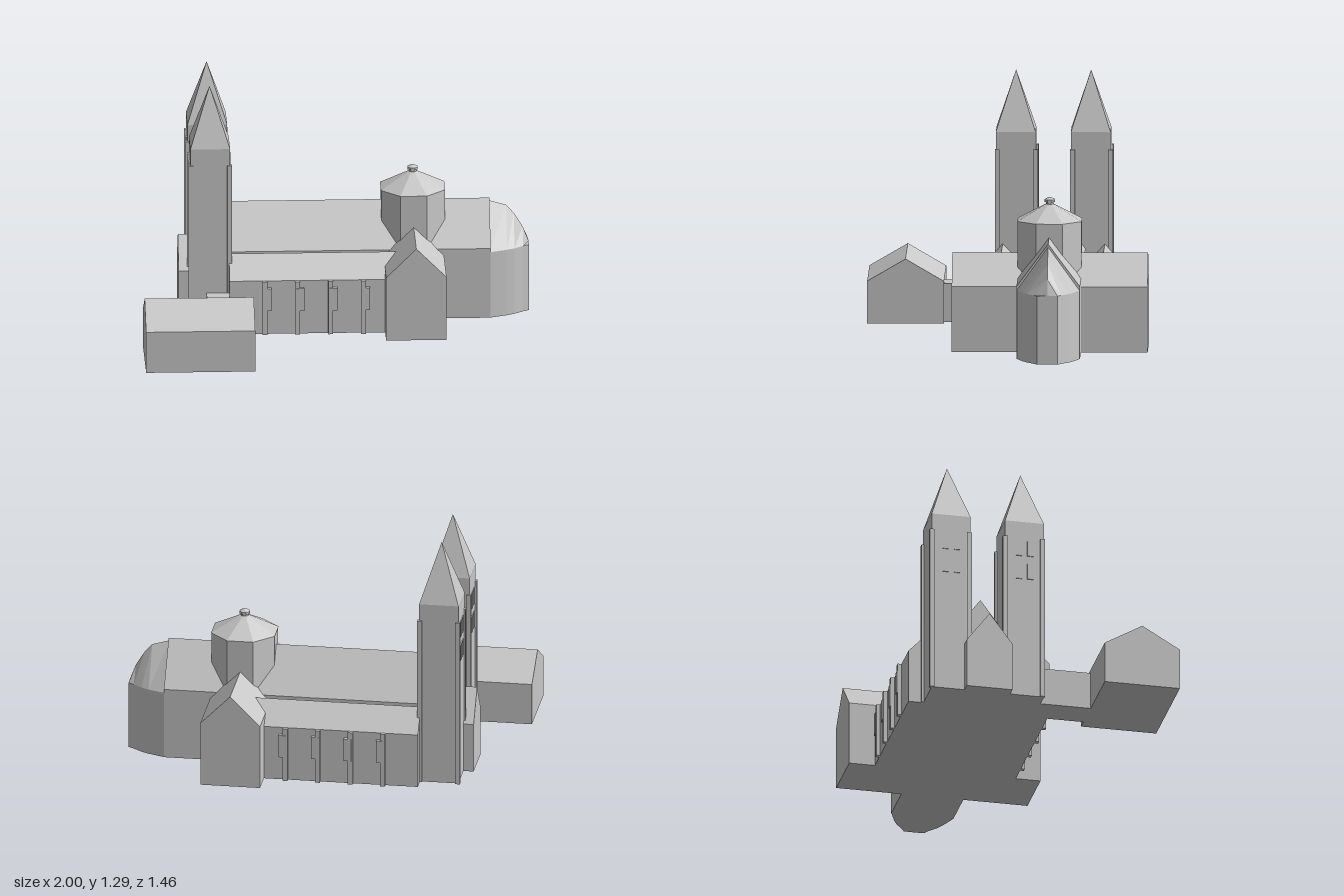
import * as THREE from 'three';

export function createModel() {
  const model = new THREE.Group();
  model.name = 'abbeyChurch';
  const stone = new THREE.MeshStandardMaterial({ color: 0xc8c8c8 });
  stone.name = 'paleGreyStone';
  const axisZ = -0.225; // centre line of the church

  function add(name, geometry, x = 0, y = 0, z = 0, parent = model) {
    const mesh = new THREE.Mesh(geometry, stone);
    mesh.name = name;
    mesh.position.set(x, y, z);
    parent.add(mesh);
    return mesh;
  }
  // Box given by its limits
  function block(name, x0, x1, y0, y1, z0, z1, parent) {
    return add(name, new THREE.BoxGeometry(x1 - x0, y1 - y0, z1 - z0),
      (x0 + x1) / 2, (y0 + y1) / 2, (z0 + z1) / 2, parent);
  }
  // House-shaped block with a gabled roof, its ridge running along z
  function gable(half, eave, ridge, length) {
    const s = new THREE.Shape();
    s.moveTo(-half, 0);
    s.lineTo(half, 0);
    s.lineTo(half, eave);
    s.lineTo(0, ridge);
    s.lineTo(-half, eave);
    s.closePath();
    return new THREE.ExtrudeGeometry(s, { depth: length, bevelEnabled: false });
  }
  function gableAlongX(name, x0, x1, z, half, eave, ridge) {
    return add(name, gable(half, eave, ridge, x1 - x0).rotateY(Math.PI / 2), x0, 0, z);
  }

  // Main body
  gableAlongX('naveAndChoir', -0.58, 0.8, axisZ, 0.163, 0.375, 0.595);
  gableAlongX('westPorch', -0.8, -0.5, axisZ, 0.12, 0.26, 0.42);
  add('transept', gable(0.155, 0.34, 0.495, 1.005), 0.405, 0, -0.73);

  // Side aisles with buttresses and window frames
  for (const side of [1, -1]) {
    const label = side > 0 ? 'front' : 'back';
    gableAlongX(label + 'Aisle', -0.548, 0.35, axisZ + side * 0.262, 0.108, 0.287, 0.4);
    const wall = axisZ + side * 0.37;
    for (const x of [-0.368, -0.2, -0.03, 0.138]) {
      add(label + 'Buttress', new THREE.BoxGeometry(0.025, 0.287, 0.022),
        x, 0.1435, wall + side * 0.009);
      add(label + 'AisleWindow', new THREE.BoxGeometry(0.04, 0.12, 0.024),
        x + 0.014, 0.19, wall + side * 0.01);
    }
  }

  // Apse: tent-shaped sections [x, half width, ridge height]
  const sections = [[0.795, 0.163, 0.582], [0.885, 0.128, 0.555], [0.925, 0.106, 0.51],
    [0.97, 0.07, 0.437], [1.0, 0.052, 0.358]];
  const eave = 0.355;
  const pos = [];
  const quad = (a, b, c, d) => pos.push(...a, ...b, ...c, ...a, ...c, ...d);
  const ring = ([x, w, h]) => [[x, 0, w], [x, eave, w], [x, h, 0], [x, eave, -w], [x, 0, -w]];
  for (let i = 0; i < sections.length - 1; i++) {
    const a = ring(sections[i]), b = ring(sections[i + 1]);
    for (let j = 0; j < 5; j++) {
      const k = (j + 1) % 5;
      quad(a[j], b[j], b[k], a[k]);
    }
  }
  const end = ring(sections[sections.length - 1]);
  quad(end[0], end[4], end[3], end[1]);
  pos.push(...end[1], ...end[3], ...end[2]);
  const apse = new THREE.BufferGeometry();
  apse.setAttribute('position', new THREE.Float32BufferAttribute(pos, 3));
  apse.computeVertexNormals();
  add('apse', apse, 0, 0, axisZ);

  // Octagonal crossing tower with roof and finial
  const crossing = new THREE.Group();
  crossing.name = 'crossingTower';
  crossing.position.set(0.405, 0, axisZ);
  model.add(crossing);
  function octagon(name, rTop, rBottom, y0, y1) {
    const k = 1 / Math.cos(Math.PI / 8);
    const g = new THREE.CylinderGeometry(rTop * k, rBottom * k, y1 - y0, 8)
      .rotateY(Math.PI / 8).toNonIndexed();
    g.computeVertexNormals();
    add(name, g, 0, (y0 + y1) / 2, 0, crossing);
  }
  octagon('crossingWalls', 0.163, 0.163, 0.3, 0.665);
  octagon('crossingRoof', 0.02, 0.165, 0.665, 0.747);
  octagon('finialNeck', 0.019, 0.019, 0.74, 0.762);
  octagon('finialCap', 0.026, 0.026, 0.758, 0.77);
  octagon('finialTip', 0.006, 0.026, 0.77, 0.782);

  // Twin west towers
  for (const [label, z] of [['front', -0.03], ['back', -0.415]]) {
    const tower = new THREE.Group();
    tower.name = label + 'Tower';
    tower.position.set(-0.645, 0, z);
    model.add(tower);
    block('towerShaft', -0.102, 0.102, 0, 0.98, -0.102, 0.102, tower);
    const spire = new THREE.ConeGeometry(0.102 * Math.SQRT2, 0.31, 4)
      .rotateY(Math.PI / 4).toNonIndexed();
    spire.computeVertexNormals();
    add('spire', spire, 0, 1.135, 0, tower);
    for (const sx of [-1, 1]) for (const sz of [-1, 1]) {
      add('cornerPilaster', new THREE.BoxGeometry(0.024, 0.89, 0.024),
        sx * 0.099, 0.445, sz * 0.098 - 0.004, tower);
    }
    // Paired belfry windows on the west face
    for (const wz of [-0.03, 0.03]) for (const wy of [0.7, 0.83]) {
      add('belfryWindow', new THREE.BoxGeometry(0.008, 0.085, 0.032), -0.103, wy, wz, tower);
    }
  }

  // Detached hall and its link to the church
  gableAlongX('hall', -1, -0.44, 0.533, 0.197, 0.22, 0.335);
  block('linkPassage', -0.665, -0.495, 0, 0.2, 0.06, 0.345);

  return model;
}
